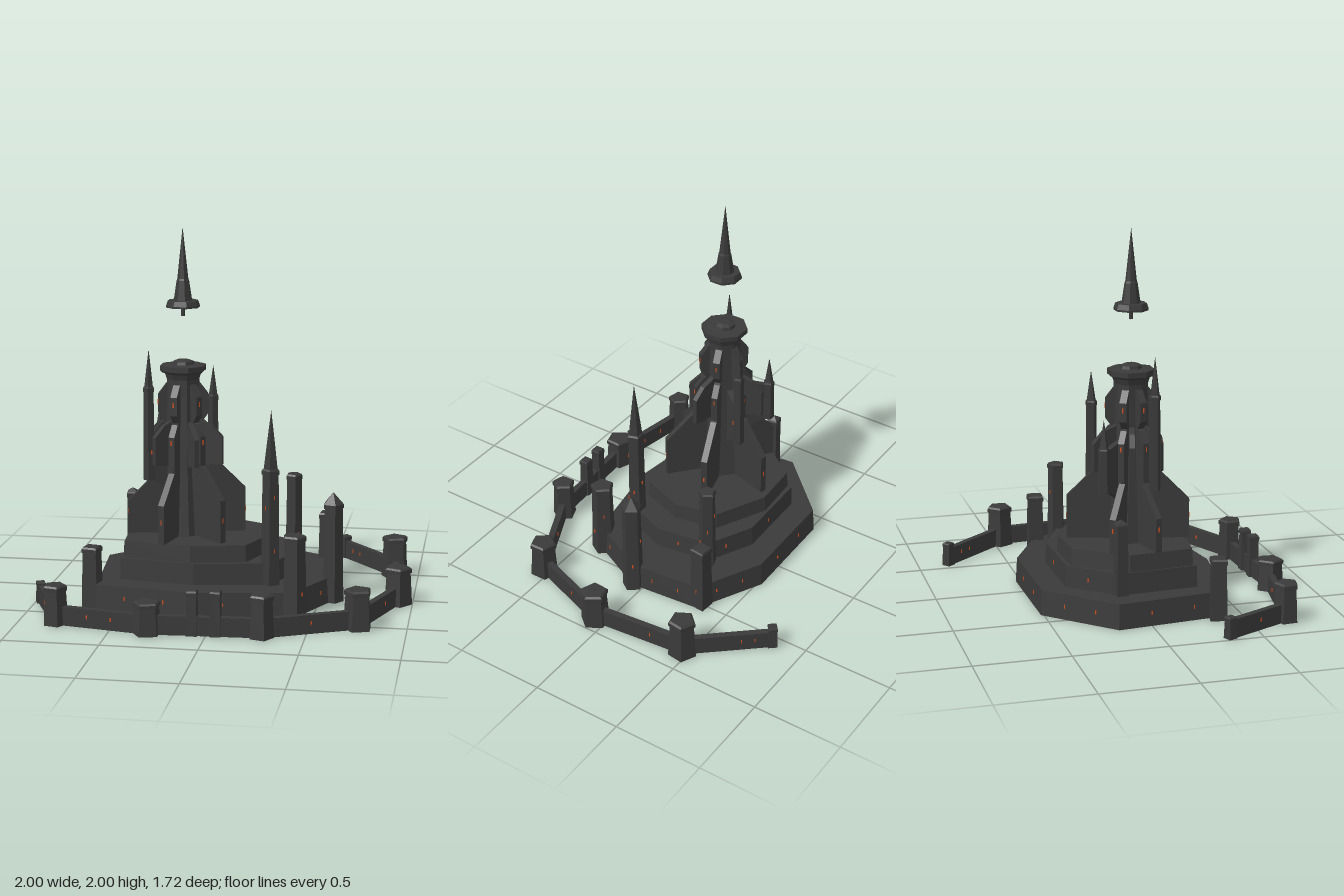
import * as THREE from 'three';

const stone = new THREE.MeshStandardMaterial({ color: 0x3a3a3a, flatShading: true, side: THREE.DoubleSide });
stone.name = 'dark stone';
const glow = new THREE.MeshStandardMaterial({ color: 0xd0501e });
glow.name = 'ember window';

const KEEP = [-0.248, 0.01];

function add(parent, name, geo, mat = stone) {
  const mesh = new THREE.Mesh(geo, mat);
  mesh.name = name;
  parent.add(mesh);
  return mesh;
}

// Thin window plate facing the direction (nx, nz)
function windowPlate(parent, x, y, z, nx, nz, h = 0.02) {
  const m = add(parent, 'window', new THREE.BoxGeometry(0.006, h, 0.007), glow);
  m.position.set(x, y, z);
  m.rotation.y = Math.atan2(nx, nz);
}

// Stacked faceted solid from [radius, y] pairs
function turned(parent, name, profile, sides) {
  const pts = profile.map(([r, y]) => new THREE.Vector2(r, y));
  return add(parent, name, new THREE.LatheGeometry(pts, sides));
}

// Polygon terrace: a shell open underneath, with leaning sides and a flat top
function terrace(parent, name, pts, y0, y1, taper, windowY, spots) {
  const g = new THREE.Group();
  g.name = name;
  parent.add(g);
  const lean = ([x, z], k) => [-0.1 + (x + 0.1) * k, z * k];
  const upper = pts.map((p) => lean(p, taper));
  const sides = [];
  pts.forEach(([ax, az], i) => {
    const j = (i + 1) % pts.length;
    const [bx, bz] = pts[j], [cx, cz] = upper[j], [dx, dz] = upper[i];
    sides.push(ax, y0, az, cx, y1, cz, bx, y0, bz, ax, y0, az, dx, y1, dz, cx, y1, cz);
    // Windows set into each side
    const k = 1 + (taper - 1) * (windowY - y0) / (y1 - y0);
    for (const t of spots(i)) {
      const [x, z] = lean([ax + (bx - ax) * t, az + (bz - az) * t], k);
      windowPlate(g, x, windowY, z, bz - az, ax - bx);
    }
  });
  const geo = new THREE.BufferGeometry();
  geo.setAttribute('position', new THREE.Float32BufferAttribute(sides, 3));
  geo.computeVertexNormals();
  add(g, 'sides', geo);
  const deck = new THREE.ShapeGeometry(new THREE.Shape(upper.map(([x, z]) => new THREE.Vector2(x, -z))));
  deck.rotateX(-Math.PI / 2).translate(0, y1, 0);
  add(g, 'deck', deck);
}

// Tower with a collar, and a flat, pointed or spired top
function tower(parent, name, { x, z, r, y0 = 0, y1, tip = 0, sides = 5, rot = 0, spire = 0, windows = 0 }) {
  const g = new THREE.Group();
  g.name = name;
  const c = Math.min(0.03, (y1 - y0) * 0.15);
  const profile = [[0, y0], [r, y0], [r * 0.86, y1 - c], [r * 0.96, y1 - c], [r * 0.96, y1 - c * 0.3], [r * 0.82, y1]];
  if (spire) profile.push([r * 0.74, y1], [r * 0.42, y1 + (spire - y1) * 0.45], [0, spire]);
  else profile.push([0, tip || y1]);
  turned(g, 'shaft', profile, sides);
  for (let i = 0; i < windows; i++) {
    const t = 0.3 + 0.55 * (i / windows);
    const a = ((i % sides) + 0.5) * Math.PI * 2 / sides;
    const d = r * (1 - 0.14 * t) * Math.cos(Math.PI / sides) + 0.001;
    windowPlate(g, Math.sin(a) * d, y0 + (y1 - y0) * t, Math.cos(a) * d, Math.sin(a), Math.cos(a));
  }
  g.position.set(x, 0, z);
  g.rotation.y = rot;
  parent.add(g);
}

// Radial buttress on the keep: profile of [distance out, y]
function fin(parent, name, profile, dx, dz, t) {
  const shape = new THREE.Shape(profile.map(([x, y]) => new THREE.Vector2(x, y)));
  const geo = new THREE.ExtrudeGeometry(shape, { depth: t, bevelEnabled: false });
  geo.translate(0, 0, -t / 2);
  const m = add(parent, name, geo);
  m.position.set(KEEP[0], 0, KEEP[1]);
  m.rotation.y = Math.atan2(-dz, dx);
}

// Window on the outer edge of a buttress
function finWindow(parent, dx, dz, reach, y) {
  const l = Math.hypot(dx, dz), ux = dx / l, uz = dz / l;
  windowPlate(parent, KEEP[0] + ux * reach, y, KEEP[1] + uz * reach, ux, uz, 0.026);
}

export function createModel() {
  const model = new THREE.Group();
  model.name = 'fortress';

  // Outer curtain wall: [x, z, radius, height, sides, window positions along the next section]
  const posts = [
    [0.56, -0.83, 0.035, 0.13, 4, [0.2, 0.35]], [0.87, -0.47, 0.077, 0.23, 5, [0.35]],
    [0.92, 0.06, 0.079, 0.205, 5, [0.4]], [0.75, 0.53, 0.077, 0.21, 5, [0.5]],
    [0.28, 0.75, 0.067, 0.225, 5, []], [0.05, 0.76, 0.04, 0.235, 4, []],
    [-0.07, 0.765, 0.04, 0.235, 4, []], [-0.3, 0.78, 0.077, 0.17, 5, [0.38, 0.64]],
    [-0.8, 0.69, 0.067, 0.21, 5, [0.5]], [-0.97, 0.33, 0.035, 0.115, 4, []]];
  const wall = new THREE.Group();
  wall.name = 'outerWall';
  model.add(wall);
  posts.forEach(([x, z, r, h, sides, windows], i) => {
    const rot = sides === 4 ? Math.PI / 4 + (i === 0 ? 0.7 : i === 9 ? 0.4 : 0) : Math.atan2(x, z);
    tower(wall, 'wallTower', { x, z, r, y1: h, sides, rot });
    if (i === posts.length - 1) return;
    const [x2, z2] = posts[i + 1];
    const dx = x2 - x, dz = z2 - z, len = Math.hypot(dx, dz);
    const m = add(wall, 'wallSection', new THREE.BoxGeometry(len, 0.1, 0.034));
    m.position.set((x + x2) / 2, 0.05, (z + z2) / 2);
    m.rotation.y = Math.atan2(-dz, dx);
    const nx = -dz / len, nz = dx / len;
    for (const t of windows) for (const s of [-1, 1]) {
      windowPlate(wall, x + dx * t + nx * s * 0.017, 0.057, z + dz * t + nz * s * 0.017, nx * s, nz * s);
    }
  });

  // Three stepped terraces; the middle one has windows only away from the gate
  const low = [[-0.715, -0.18], [-0.39, -0.515], [0.18, -0.525], [0.54, -0.34], [0.575, 0.06], [0.405, 0.405], [-0.12, 0.49], [-0.655, 0.415]];
  const mid = [[-0.575, -0.13], [-0.37, -0.375], [0.06, -0.385], [0.31, -0.26], [0.355, 0.04], [0.265, 0.27], [-0.14, 0.34], [-0.545, 0.29]];
  const top = [[-0.56, -0.08], [-0.37, -0.345], [-0.11, -0.36], [0.17, -0.22], [0.22, 0.02], [0.13, 0.26], [-0.16, 0.32], [-0.53, 0.27]];
  terrace(model, 'lowerTerrace', low, 0, 0.135, 0.985, 0.07, () => [0.3, 0.7]);
  terrace(model, 'middleTerrace', mid, 0.135, 0.25, 0.99, 0.19, (i) => (i < 4 ? [0.6] : []));
  terrace(model, 'upperTerrace', top, 0.25, 0.34, 0.985, 0.3, () => []);

  // Towers on the terraces
  [
    { x: -0.68, z: 0.36, r: 0.062, y1: 0.33, sides: 4, rot: 0.6, windows: 1 },
    { x: 0.4, z: 0.38, r: 0.068, y1: 0.44, rot: 0.4, windows: 2 },
    { x: 0.57, z: 0.06, r: 0.06, y1: 0.545, tip: 0.6, rot: Math.PI / 2, windows: 2 },
    { x: 0.5, z: -0.34, r: 0.062, y1: 0.39, sides: 4, rot: 0.7, windows: 1 },
    { x: 0.32, z: -0.26, r: 0.05, y0: 0.135, y1: 0.62, rot: 0.3, windows: 3 },
    { x: -0.56, z: -0.13, r: 0.045, y0: 0.135, y1: 0.52, tip: 0.54, sides: 4, rot: 0.9, windows: 1 },
    { x: 0.26, z: 0.25, r: 0.052, y0: 0.135, y1: 0.76, spire: 1.07, windows: 6 },
  ].forEach((o) => tower(model, 'terraceTower', o));

  // Keep: central column and flared crown
  const keep = new THREE.Group();
  keep.name = 'keep';
  model.add(keep);
  const column = turned(keep, 'column', [[0.125, 0.34], [0.1, 0.7], [0.09, 1.1], [0.09, 1.19]], 8);
  const crown = turned(keep, 'crown', [[0, 1.185], [0.09, 1.185], [0.1, 1.215], [0.115, 1.22], [0.126, 1.23], [0.126, 1.258],
    [0.105, 1.258], [0.06, 1.262], [0.055, 1.278], [0.03, 1.287], [0, 1.287]], 8);
  for (const m of [column, crown]) {
    m.position.set(KEEP[0], 0, KEEP[1]);
    m.rotation.y = Math.PI / 8;
  }

  // Long buttresses in three stages: [dx, dz, reach, shoulder height]
  [[18, -61, 0.34, 0.57], [61, -16, 0.335, 0.58], [46, 40, 0.33, 0.57], [-12, 54, 0.31, 0.55],
    [-54, 13, 0.3, 0.52], [-42, -28, 0.3, 0.52]].forEach(([dx, dz, r, y]) => {
    fin(keep, 'lowButtress', [[0, 0.34], [r, 0.34], [r, y], [r - 0.16, y + 0.16], [0, y + 0.22]], dx, dz, 0.034);
    fin(keep, 'middleButtress', [[0, 0.62], [0.165, 0.68], [0.165, 0.89], [0.12, 0.95], [0, 1.0]], dx, dz, 0.034);
    fin(keep, 'highButtress', [[0, 0.9], [0.1, 0.95], [0.135, 1.0], [0.135, 1.1], [0.09, 1.16], [0, 1.17]], dx, dz, 0.038);
    for (const [reach, h] of [[0.135, 1.06], [0.165, 0.86], [r, 0.46]]) finWindow(keep, dx, dz, reach, h);
  });

  // Short hanging buttresses between them: [dx, dz, reach]
  [[-10, -44, 0.225], [45, 9, 0.225], [23, 37, 0.19], [-37, 36, 0.19], [-42, -10, 0.205]].forEach(([dx, dz, r]) => {
    fin(keep, 'shortButtress', [[0, 0.62], [0.1, 0.72], [r, 0.73], [r, 0.88], [r - 0.06, 0.94], [0, 1.0]], dx, dz, 0.028);
  });

  // Slender spires around the keep, each on a bracket
  [[-0.42, 0.09, 1.15, 1.35], [-0.115, -0.17, 1.07, 1.23], [-0.41, -0.18, 0.88, 1.03]].forEach(([x, z, y1, spire]) => {
    const dx = x - KEEP[0], dz = z - KEEP[1], d = Math.hypot(dx, dz);
    tower(keep, 'keepSpire', { x, z, r: 0.033, y0: 0.64, y1, spire, windows: 1 });
    fin(keep, 'spireBracket', [[0, 0.5], [d, 0.66], [d, 0.86], [0, 0.92]], dx, dz, 0.03);
  });

  // Floating spire above the crown
  const floating = turned(model, 'floatingSpire', [[0, 1.52], [0.011, 1.52], [0.011, 1.565], [0.092, 1.568], [0.092, 1.578],
    [0.082, 1.605], [0.05, 1.605], [0.034, 1.71], [0.03, 1.72], [0, 1.995]], 8);
  floating.position.set(KEEP[0], 0, KEEP[1]);
  floating.rotation.y = Math.PI / 8;

  return model;
}
